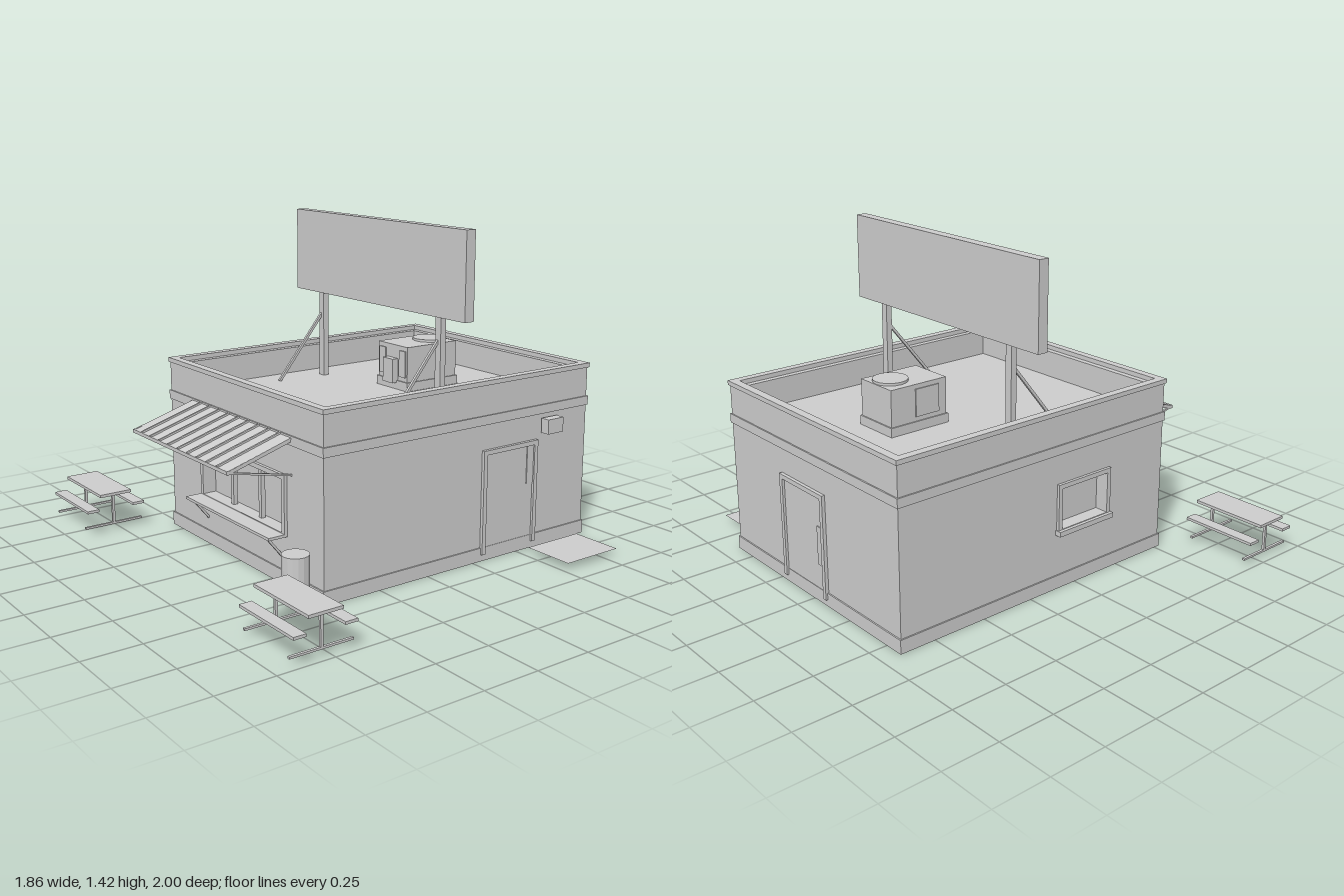
import * as THREE from 'three';

export function createModel() {
  const model = new THREE.Group();
  model.name = 'burgerStand';
  const grey = new THREE.MeshStandardMaterial({ color: 0xcccccc, side: THREE.DoubleSide });
  grey.name = 'plain grey';

  const add = (name, geo, parent = model) => {
    const m = new THREE.Mesh(geo, grey);
    m.name = name;
    parent.add(m);
    return m;
  };
  // Box given by its limits on each axis
  const box = (name, x0, x1, y0, y1, z0, z1, parent) => {
    const m = add(name, new THREE.BoxGeometry(x1 - x0, y1 - y0, z1 - z0), parent);
    m.position.set((x0 + x1) / 2, (y0 + y1) / 2, (z0 + z1) / 2);
    return m;
  };
  // Square bar between two points in the x-y plane
  const bar = (name, x0, y0, x1, y1, z, t, width = t) => {
    const m = add(name, new THREE.BoxGeometry(Math.hypot(x1 - x0, y1 - y0), t, width));
    m.position.set((x0 + x1) / 2, (y0 + y1) / 2, z);
    m.rotation.z = Math.atan2(y1 - y0, x1 - x0);
    return m;
  };
  const rect = (C, x0, x1, y0, y1) => {
    const s = new C();
    s.moveTo(x0, y0); s.lineTo(x1, y0); s.lineTo(x1, y1); s.lineTo(x0, y1); s.closePath();
    return s;
  };
  const X0 = -0.522, X1 = 0.91, Z0 = -0.583, Z1 = 0.608;
  // Horizontal rectangular ring around the building; grow is outward, inset is inward
  const ring = (name, grow, inset, y0, y1) => {
    const s = rect(THREE.Shape, X0 - grow, X1 + grow, -Z1 - grow, -Z0 + grow);
    s.holes.push(rect(THREE.Path, X0 + inset, X1 - inset, -Z1 + inset, -Z0 - inset));
    const m = add(name, new THREE.ExtrudeGeometry(s, { depth: y1 - y0, bevelEnabled: false }));
    m.rotation.x = -Math.PI / 2;
    m.position.y = y0;
  };
  // Upright plate with a rectangular opening, in local x-y, growing towards +z
  const plate = (name, outer, hole, depth, parent) => {
    const s = rect(THREE.Shape, ...outer);
    s.holes.push(rect(THREE.Path, ...hole));
    return add(name, new THREE.ExtrudeGeometry(s, { depth, bevelEnabled: false }), parent);
  };
  // Group whose local +z points out of a wall
  const wallGroup = (name, x, z, turn) => {
    const g = new THREE.Group();
    g.name = name;
    g.position.set(x, 0, z);
    g.rotation.y = turn;
    model.add(g);
    return g;
  };

  // Building: solid core, with thick pierced walls at the back and serving side
  const roofY = 0.65, wall = 0.05;
  box('buildingCore', X0 + wall, X1, 0, roofY, Z0 + wall, Z1);
  const back = wallGroup('backWall', 0, Z0, Math.PI);
  const side = wallGroup('servingWall', X0, 0, -Math.PI / 2);
  const backHole = [-0.085, 0.175, 0.27, 0.45];
  const sideHole = [-0.29, 0.335, 0.225, 0.45];
  plate('backWallPanel', [-X1, -X0, 0, roofY], backHole, wall, back).position.z = -wall;
  plate('servingWallPanel', [Z0, Z1, 0, roofY], sideHole, wall, side).position.z = -wall;
  ring('plinth', 0.006, 0.02, 0, 0.06);
  ring('wallBand', 0.006, 0.02, 0.6, 0.64);
  ring('parapet', 0, 0.057, roofY - 0.01, 0.77);
  ring('parapetCap', 0.007, 0.03, 0.77, 0.79);

  // Back window frame and sill
  plate('backWindowFrame', [-0.105, 0.195, 0.25, 0.47], backHole, 0.013, back);
  box('backWindowSill', -0.11, 0.2, 0.245, 0.267, -0.03, 0.028, back);

  // Serving window with mullions, counter and brackets
  plate('servingFrame', [-0.31, 0.355, 0.21, 0.47], sideHole, 0.014, side);
  for (const z of [-0.09, 0.13]) box('servingMullion', z - 0.01, z + 0.01, 0.22, 0.455, -0.035, -0.015, side);
  box('servingCounter', -0.31, 0.355, 0.21, 0.222, -0.04, 0.09, side);
  for (const z of [-0.27, 0.31]) bar('counterBracket', X0, 0.12, -0.595, 0.21, z, 0.01);

  // Awning: sloping strips joined by raised seams, on two struts
  const strips = 10, zA = -0.38, zB = 0.395, step = (zB - zA) / strips;
  for (let i = 0; i < strips; i++) {
    bar('awningStrip', -0.82, 0.54, X0, 0.63, zA + step * (i + 0.5), 0.008, step);
    if (i) bar('awningSeam', -0.82, 0.544, X0, 0.634, zA + step * i, 0.016, 0.009);
  }
  for (const z of [zA + 0.006, zB - 0.006]) {
    bar('awningEdge', -0.82, 0.537, X0, 0.625, z, 0.016, 0.01);
    bar('awningStrut', -0.81, 0.537, X0, 0.478, z, 0.008);
  }
  box('awningFrontRail', -0.822, -0.812, 0.532, 0.547, zA, zB);

  // Doors on the front and on the left side
  const front = wallGroup('frontDoor', 0.45, Z1, 0);
  const left = wallGroup('sideDoor', X1, 0.06, Math.PI / 2);
  for (const g of [front, left]) {
    for (const s of [-1, 1]) box('doorJamb', s * 0.147 - 0.01, s * 0.147 + 0.01, 0.03, 0.49, 0, 0.015, g);
    box('doorHead', -0.157, 0.157, 0.47, 0.49, 0, 0.015, g);
    box('doorLeaf', -0.137, 0.137, 0.03, 0.47, 0, 0.004, g);
  }
  box('doorPane', 0.1, 0.137, 0.3, 0.47, 0, 0.008, front);
  box('doorPane', 0.1, 0.137, 0.17, 0.34, 0, 0.008, left);

  // Wall box by the front door, and the mat on the ground
  box('wallBoxMount', 0.64, 0.7, 0.535, 0.57, Z1, 0.63);
  box('wallBox', 0.625, 0.715, 0.518, 0.583, 0.62, 0.662);
  const mat = add('groundMat', new THREE.PlaneGeometry(0.3, 0.235));
  mat.rotation.x = -Math.PI / 2;
  mat.position.set(0.67, 0.03, 0.788);

  // Roof sign on two braced posts
  box('signBoard', 0.175, 0.223, 1.045, 1.42, -0.583, 0.612);
  for (const z of [-0.4, 0.437]) {
    box('signPost', 0.185, 0.213, roofY, 1.05, z - 0.017, z + 0.017);
    bar('signBrace', -0.05, roofY, 0.195, 0.95, z - 0.006, 0.012);
  }

  // Rooftop air unit
  box('airUnitBase', 0.283, 0.579, roofY, 0.69, -0.1, 0.118);
  box('airUnitBody', 0.289, 0.573, 0.69, 0.85, -0.094, 0.112);
  const fan = add('airUnitFan', new THREE.CylinderGeometry(0.075, 0.075, 0.012, 20));
  fan.position.set(0.495, 0.855, 0.015);
  box('airUnitDuct', 0.258, 0.29, 0.68, 0.79, -0.025, 0.045);
  for (const z of [-0.06, 0.08]) box('airUnitVent', 0.283, 0.29, 0.71, 0.83, z - 0.022, z + 0.022);
  box('airUnitBackVent', 0.33, 0.45, 0.71, 0.83, -0.099, -0.093);

  // Bin
  const bin = add('bin', new THREE.CylinderGeometry(0.057, 0.057, 0.187, 16).toNonIndexed());
  bin.geometry.computeVertexNormals();
  bin.position.set(-0.612, 0.123, 0.545);

  // Two picnic tables
  for (const s of [-1, 1]) {
    const t = new THREE.Group();
    t.name = 'picnicTable';
    t.position.set(-0.79, 0, s * 0.821);
    model.add(t);
    box('tableTop', -0.076, 0.076, 0.174, 0.187, -0.178, 0.178, t);
    for (const b of [-0.112, 0.112]) box('bench', b - 0.028, b + 0.028, 0.11, 0.122, -0.178, 0.178, t);
    for (const z of [-0.146, 0.146]) {
      box('tablePost', -0.006, 0.006, 0.03, 0.175, z - 0.006, z + 0.006, t);
      box('tableFoot', -0.14, 0.14, 0.03, 0.039, z - 0.006, z + 0.006, t);
    }
  }
  return model;
}
